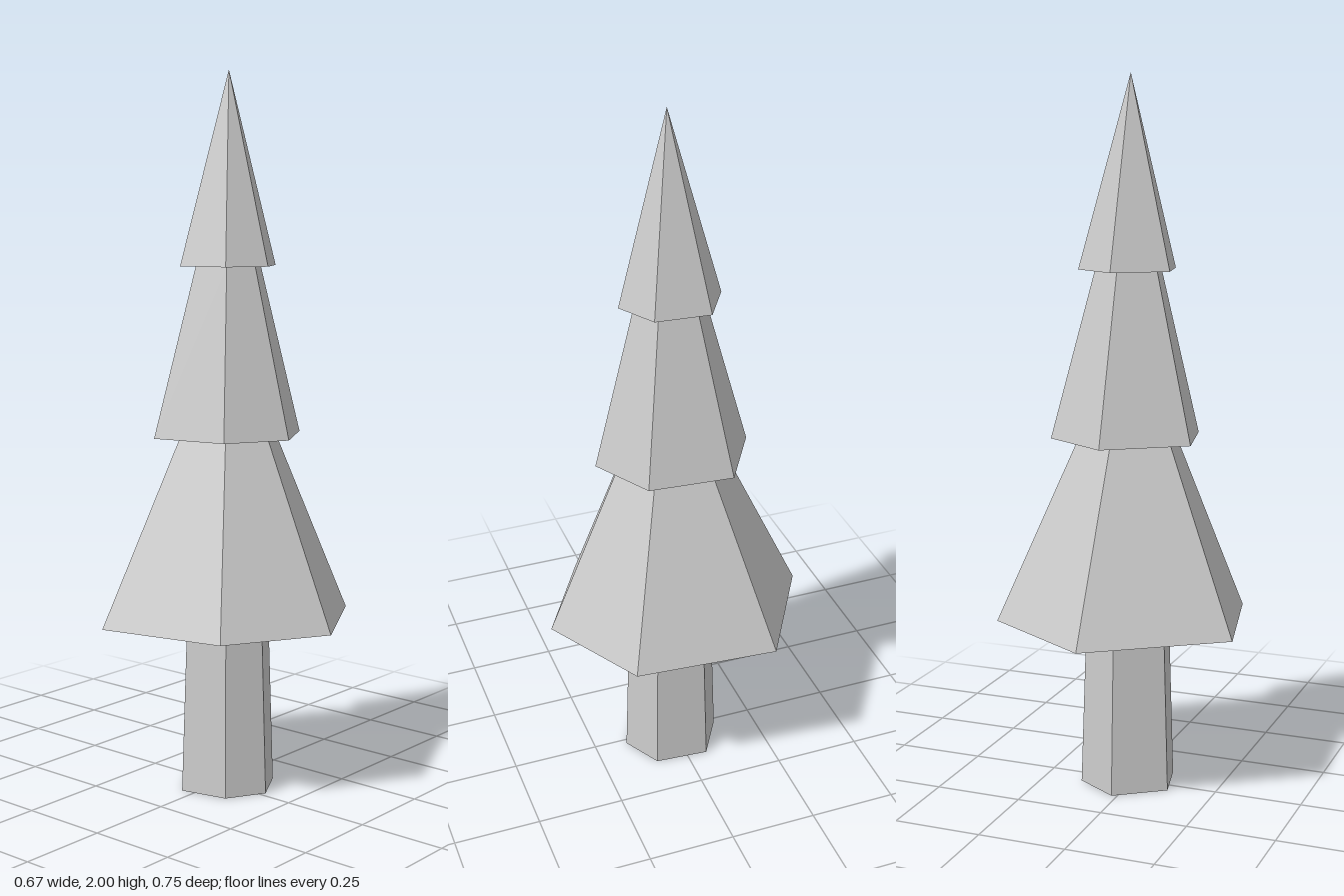
import * as THREE from 'three';

// Vertical axis of the tree and its uneven six-sided outline (x, z offsets from that axis)
const AXIS = [0.015, 0.02];
const OUTLINE = [
  [0.004, 0.356], [0.292, 0.196], [0.322, -0.207],
  [0.002, -0.398], [-0.352, -0.153], [-0.271, 0.199],
];

const material = new THREE.MeshStandardMaterial({ color: 0xcccccc, flatShading: true });

// Six-sided taper whose corners are moved onto the scaled outline
function taper(name, y0, y1, bottomScale, topScale) {
  const geo = new THREE.CylinderGeometry(topScale, bottomScale, y1 - y0, 6, 1);
  const pos = geo.attributes.position;
  for (let i = 0; i < pos.count; i++) {
    const x = pos.getX(i), z = pos.getZ(i);
    const r = Math.hypot(x, z);
    const corner = (Math.round(Math.atan2(x, z) / (Math.PI / 3)) + 6) % 6;
    const [ox, oz] = OUTLINE[corner];
    pos.setXYZ(i, AXIS[0] + ox * r, pos.getY(i) + (y0 + y1) / 2, AXIS[1] + oz * r);
  }
  const flat = geo.toNonIndexed();
  flat.computeVertexNormals();
  const mesh = new THREE.Mesh(flat, material);
  mesh.name = name;
  return mesh;
}

export function createModel() {
  const tree = new THREE.Group();
  tree.name = 'tree';
  tree.add(
    taper('trunk', 0, 0.495, 0.38, 0.335),
    taper('lowerBranches', 0.495, 1.01, 1, 0.385),
    taper('middleBranches', 1.01, 1.475, 0.59, 0.26),
    taper('topBranches', 1.475, 2, 0.383, 0),
  );
  return tree;
}
